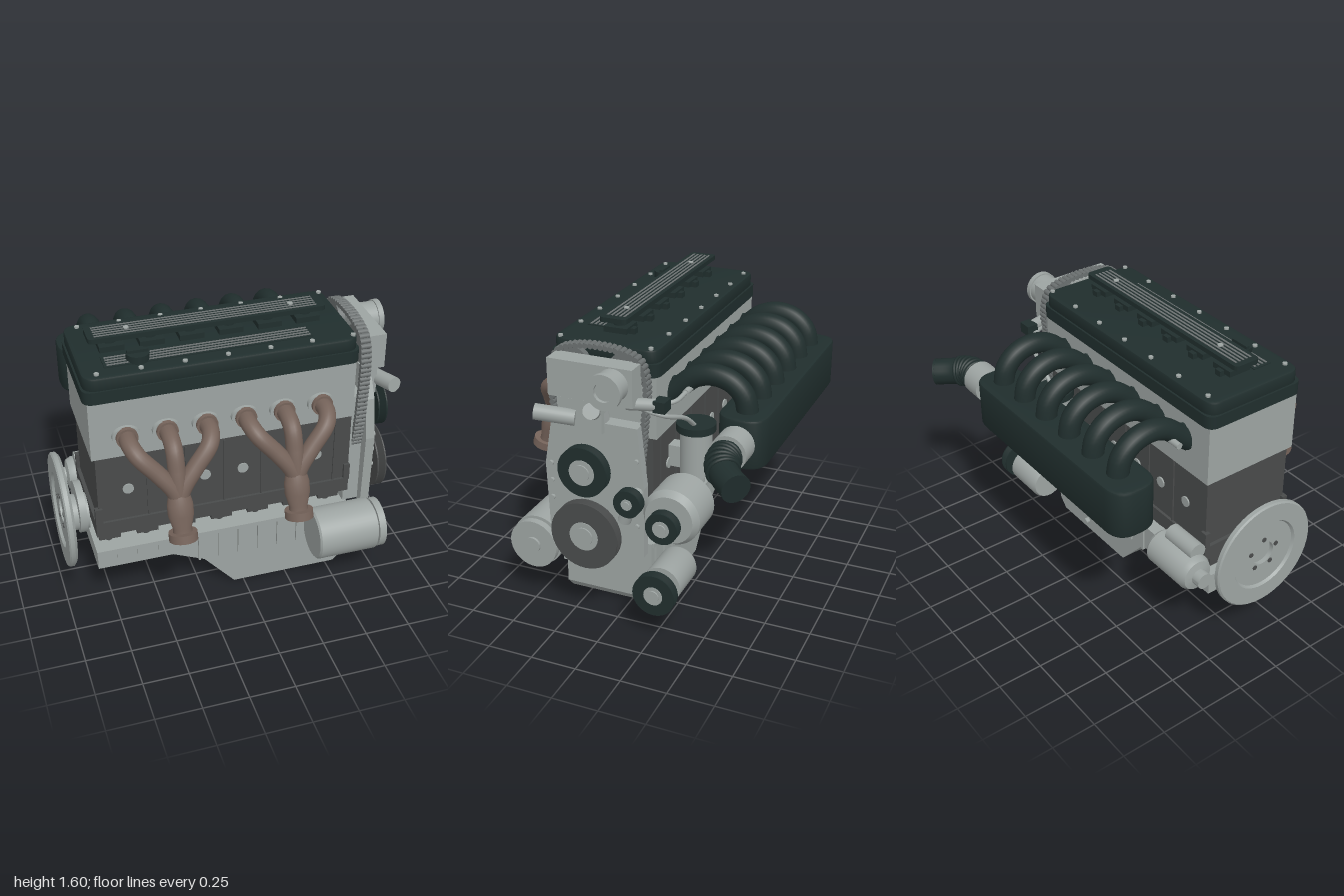
import * as THREE from 'three';
import { toCreasedNormals } from 'three/addons/utils/BufferGeometryUtils.js';

const material = (name, color) => Object.assign(new THREE.MeshStandardMaterial({ color }), { name });
const alloy = material('light alloy', 0x9da4a2);
const iron = material('dark iron', 0x494b4b);
const black = material('green black', 0x202e2d);
const brown = material('exhaust brown', 0x75635a);
const steel = material('steel grey', 0x6b7070);

const V = (x, y, z) => new THREE.Vector3(x, y, z);
const UP = V(0, 1, 0);
const PORTS = [0, 1, 2, 3, 4, 5].map(i => -0.645 + i * 0.21);

export function createModel() {
  const root = new THREE.Group();
  root.name = 'engine';

  const add = (name, geometry, mat) => {
    const mesh = new THREE.Mesh(geometry, mat);
    mesh.name = name;
    root.add(mesh);
    return mesh;
  };
  const box = (name, mat, x0, x1, y0, y1, z0, z1) => {
    const mesh = add(name, new THREE.BoxGeometry(x1 - x0, y1 - y0, z1 - z0), mat);
    mesh.position.set((x0 + x1) / 2, (y0 + y1) / 2, (z0 + z1) / 2);
    return mesh;
  };
  // Cylinder between two points
  const rod = (name, mat, a, b, r, sides = 28, r2 = r) => {
    const mesh = add(name, new THREE.CylinderGeometry(r2, r, a.distanceTo(b), sides), mat);
    mesh.position.copy(a).lerp(b, 0.5);
    mesh.quaternion.setFromUnitVectors(UP, b.clone().sub(a).normalize());
    return mesh;
  };
  const rodX = (name, mat, x0, x1, y, z, r, sides = 36) => rod(name, mat, V(x0, y, z), V(x1, y, z), r, sides);
  const tube = (name, mat, points, r, segments = 32) =>
    add(name, new THREE.TubeGeometry(new THREE.CatmullRomCurve3(points), segments, r, 16), mat);
  // Turned part along x: profile of [radius, offset]
  const turned = (name, mat, x, y, z, profile) => {
    const lathe = new THREE.LatheGeometry(profile.map(p => new THREE.Vector2(p[0], p[1])), 40);
    lathe.rotateZ(-Math.PI / 2);
    add(name, toCreasedNormals(lathe, 0.5), mat).position.set(x, y, z);
  };
  // Rounded rectangle in plan, raised along y
  const slab = (name, mat, x0, x1, y0, y1, z0, z1, r, bevel = 0) => {
    const s = new THREE.Shape();
    const [a, b, c, d] = [x0 + bevel, x1 - bevel, -z1 + bevel, -z0 - bevel];
    s.moveTo(a + r, c).lineTo(b - r, c).quadraticCurveTo(b, c, b, c + r);
    s.lineTo(b, d - r).quadraticCurveTo(b, d, b - r, d);
    s.lineTo(a + r, d).quadraticCurveTo(a, d, a, d - r);
    s.lineTo(a, c + r).quadraticCurveTo(a, c, a + r, c);
    const g = new THREE.ExtrudeGeometry(s, {
      depth: y1 - y0 - 2 * bevel, bevelEnabled: bevel > 0, bevelSize: bevel, bevelThickness: bevel, bevelSegments: 2, curveSegments: 8,
    });
    g.rotateX(-Math.PI / 2).translate(0, y0 + bevel, 0);
    return add(name, toCreasedNormals(g, 0.6), mat);
  };
  const poly = points => new THREE.Shape(points.map(p => new THREE.Vector2(p[0], p[1])));

  // Block with skirt, ribs and core plugs
  box('block', iron, -0.81, 0.6, 0.6, 1.02, -0.15, 0.385);
  box('blockSkirt', iron, -0.83, 0.6, 0.525, 0.61, -0.165, 0.4);
  for (const [face, out] of [[0.385, 1], [-0.15, -1]]) {
    PORTS.forEach(x => {
      rod('corePlug', alloy, V(x, 0.8, face), V(x, 0.8, face + out * 0.008), 0.03, 16);
      box('blockRib', iron, x + 0.1, x + 0.11, 0.61, 1.0, face - 0.008, face + 0.008);
    });
    box('blockCorner', iron, 0.57, 0.605, 0.6, 0.7, face - 0.015, face + 0.015);
    box('blockCorner', iron, -0.83, -0.79, 0.6, 0.7, face - 0.015, face + 0.015);
  }

  // Crankshaft, bearing caps and throws
  rodX('crankshaft', steel, -0.83, 0.82, 0.535, 0.115, 0.06);
  for (let i = 0; i < 7; i++) {
    const x = -0.75 + i * 0.21;
    box('bearingCap', iron, x - 0.035, x + 0.035, 0.44, 0.53, 0.0, 0.23);
    for (const z of [-0.06, 0.29]) {
      box('bearingFoot', iron, x - 0.06, x + 0.06, 0.45, 0.53, z - 0.05, z + 0.05);
      rod('capBolt', iron, V(x, 0.415, z), V(x, 0.46, z), 0.02, 8);
    }
  }
  PORTS.forEach((x, i) => rodX('crankThrow', alloy, x - 0.045, x + 0.045, 0.52 - (i % 2) * 0.03, 0.115, 0.1));

  // Oil pan
  const panShape = poly([[-0.83, 0.4], [-0.83, 0.28], [-0.41, 0.28], [-0.23, 0.2], [-0.055, 0], [0.55, 0], [0.605, 0.06], [0.605, 0.4]]);
  add('oilPan', new THREE.ExtrudeGeometry(panShape, { depth: 0.5, bevelEnabled: false }), alloy).position.z = -0.13;
  box('panRim', alloy, -0.835, 0.61, 0.385, 0.41, -0.155, 0.39);
  for (let i = 0; i < 12; i++) {
    const x = -0.72 + i * 0.115;
    for (const z of [0.37, -0.13]) box('panRib', alloy, x - 0.006, x + 0.006, x < -0.35 ? 0.34 : 0.21, 0.39, z - 0.012, z + 0.012);
  }
  rod('drainPlug', alloy, V(0.3, 0.06, -0.12), V(0.3, 0.06, -0.155), 0.02, 6);

  // Cylinder head and cover
  box('cylinderHead', alloy, -0.83, 0.6, 1.02, 1.37, -0.17, 0.4);
  slab('coverBase', black, -0.85, 0.62, 1.36, 1.43, -0.185, 0.415, 0.06);
  slab('coverTop', black, -0.84, 0.61, 1.42, 1.5, -0.175, 0.405, 0.06, 0.012);
  for (let i = 0; i < 7; i++) for (const z of [-0.135, 0.365])
    rod('coverBolt', alloy, V(-0.765 + i * 0.225, 1.49, z), V(-0.765 + i * 0.225, 1.51, z), 0.013, 10);

  // Coils, raised trim plate, ribbed panel and filler cap
  PORTS.forEach(x => {
    box('coil', black, x - 0.065, x + 0.065, 1.51, 1.54, 0.05, 0.18);
    rod('coilStem', black, V(x, 1.49, 0.115), V(x, 1.58, 0.115), 0.035, 16);
    box('coilPlug', black, x - 0.02, x + 0.02, 1.5, 1.53, 0.025, 0.06);
  });
  slab('trimPlate', black, -0.765, 0.5, 1.572, 1.598, 0.04, 0.19, 0.025);
  for (let i = 0; i < 5; i++) box('trimStripe', steel, -0.73, 0.455, 1.597, 1.6, 0.064 + i * 0.023, 0.075 + i * 0.023);
  for (const x of [-0.555, 0.325]) rod('trimScrew', alloy, V(x, 1.59, 0.115), V(x, 1.604, 0.115), 0.015, 12);
  box('ribbedPanel', black, -0.715, 0.385, 1.495, 1.505, 0.205, 0.315);
  for (let i = 0; i < 4; i++) box('panelStripe', steel, -0.7, 0.375, 1.503, 1.508, 0.22 + i * 0.024, 0.231 + i * 0.024);
  rod('fillerCap', black, V(-0.535, 1.49, 0.27), V(-0.535, 1.54, 0.27), 0.06);
  box('fillerGrip', black, -0.59, -0.48, 1.535, 1.555, 0.26, 0.28);

  // Exhaust manifolds: three pipes into each collector
  PORTS.forEach((x, i) => {
    const c = i < 3 ? PORTS[1] : PORTS[4], dx = x - c;
    const flange = rod('exhaustFlange', alloy, V(x, 1.15, 0.4), V(x, 1.15, 0.425), 0.055);
    flange.scale.x = 1.35;
    rod('exhaustCollar', brown, V(x, 1.15, 0.42), V(x, 1.15, 0.445), 0.057);
    tube('exhaustPipe', brown, [V(x, 1.15, 0.42), V(x, 1.145, 0.5), V(c + dx * 0.88, 1.11, 0.56),
      V(c + dx * 0.45, 1.01, 0.6), V(c + dx * 0.12, 0.92, 0.625), V(c, 0.86, 0.638)], 0.046);
  });
  for (const x of [PORTS[1], PORTS[4]]) {
    const g = new THREE.LatheGeometry([[0.04, 0], [0.054, 0.03], [0.068, 0.09], [0.068, 0.15], [0.05, 0.22], [0.052, 0.27]]
      .map(p => new THREE.Vector2(p[0], -p[1])).reverse(), 28);
    const collector = add('exhaustCollector', g.scale(1, 1, 0.8), brown);
    collector.position.set(x, 0.93, 0.62);
    const dir = V(0, -0.26, 0.08).normalize();
    collector.quaternion.setFromUnitVectors(UP, dir.clone().negate());
    const end = V(x, 0.675, 0.7);
    rod('exhaustOutlet', brown, end.clone().addScaledVector(dir, -0.025), end.clone().addScaledVector(dir, 0.02), 0.075);
    rod('outletBore', iron, end, end.clone().addScaledVector(dir, 0.023), 0.05);
  }

  // Intake plenum, runners, fuel rail
  slab('intakePlenum', black, -0.82, 0.535, 0.905, 1.175, -0.71, -0.45, 0.1, 0.015);
  PORTS.forEach(x => {
    tube('intakeRunner', black, [V(x, 1.19, -0.15), V(x, 1.25, -0.22), V(x, 1.315, -0.3), V(x, 1.34, -0.4),
      V(x, 1.315, -0.5), V(x, 1.25, -0.565), V(x, 1.14, -0.59)], 0.057);
    rod('injector', black, V(x, 1.2, -0.16), V(x, 1.29, -0.2), 0.025, 12);
  });
  rodX('fuelRail', alloy, -0.745, 0.5, 1.26, -0.285, 0.017, 14);
  tube('fuelPipe', alloy, [V(0.5, 1.26, -0.285), V(0.6, 1.25, -0.27), V(0.7, 1.23, -0.15), V(0.68, 1.2, -0.24), V(0.5, 1.12, -0.285), V(0.38, 1.03, -0.29)], 0.012);
  rodX('plenumPipe', alloy, 0.05, 0.38, 0.88, -0.44, 0.03, 18);
  rodX('plenumPipeCap', black, 0.36, 0.43, 0.875, -0.45, 0.036, 18);

  // Throttle and corrugated air hose
  rodX('throttleNeck', black, 0.5, 0.57, 1.06, -0.585, 0.07);
  rodX('throttleBody', alloy, 0.56, 0.69, 1.06, -0.585, 0.095);
  const hosePath = [V(0.68, 1.06, -0.585), V(0.78, 1.055, -0.59), V(0.86, 1.035, -0.635), V(0.945, 1.02, -0.722)];
  tube('airHose', black, hosePath, 0.075);
  const hoseCurve = new THREE.CatmullRomCurve3(hosePath);
  rod('hoseEnd', black, hoseCurve.getPoint(0.97), hosePath[3], 0.076);
  for (let i = 0; i < 6; i++) {
    const t = 0.12 + i * 0.09;
    const ring = add('hoseRing', new THREE.TorusGeometry(0.078, 0.01, 8, 28), black);
    ring.position.copy(hoseCurve.getPoint(t));
    ring.quaternion.setFromUnitVectors(V(0, 0, 1), hoseCurve.getTangent(t));
  }

  // Flywheel and hub
  turned('flywheel', alloy, -0.985, 0.535, 0.115, [[0.07, 0.03], [0.07, 0.015], [0.2, 0.015], [0.21, 0], [0.31, 0], [0.318, 0.008], [0.318, 0.03], [0.3, 0.045], [0.07, 0.045], [0.07, 0.03]]);
  rodX('flywheelHub', alloy, -0.945, -0.83, 0.5, 0.115, 0.1);
  rodX('hubFlange', alloy, -0.89, -0.85, 0.535, 0.115, 0.145);
  for (let i = 0; i < 5; i++) {
    const a = i * Math.PI * 0.4;
    rodX('flywheelBolt', iron, -0.975, -0.94, 0.535 + 0.09 * Math.cos(a), 0.115 + 0.09 * Math.sin(a), 0.014, 8);
  }

  // Front cover and its bolts
  const coverShape = poly([[-0.385, 0.4], [-0.4, 0.85], [-0.36, 1.08], [-0.27, 1.24], [-0.06, 1.24], [-0.05, 1.13], [0.125, 1.13], [0.16, 0.8], [0.155, 0.4]]);
  const frontCover = new THREE.ExtrudeGeometry(coverShape, { depth: 0.05, bevelEnabled: false }).rotateY(Math.PI / 2);
  add('frontCover', frontCover, alloy).position.x = 0.69;
  box('coverSpacer', alloy, 0.6, 0.7, 0.41, 1.1, -0.11, 0.34);
  box('panFlange', alloy, 0.6, 0.62, 0.2, 0.41, -0.145, 0.385);
  for (const [y, z] of [[0.655, 0.365], [0.755, 0.365], [0.855, 0.365], [0.58, -0.12], [0.765, -0.13], [0.95, -0.12]])
    rodX('frontCoverBolt', alloy, 0.73, 0.755, y, z, 0.014, 10);

  // Timing chain on cam sprockets
  const cams = [[1.39, 0.265], [1.39, -0.03]];
  cams.forEach(([y, z]) => rodX('camSprocket', steel, 0.635, 0.67, y, z, 0.1));
  const loop = new THREE.CatmullRomCurve3([[0.5, 0.19], [0.8, 0.33], [1.1, 0.37], [1.36, 0.375], [1.46, 0.34], [1.495, 0.26], [1.51, 0.12],
    [1.495, -0.03], [1.46, -0.11], [1.36, -0.145], [1.1, -0.13], [0.8, -0.09], [0.5, 0.04]].map(p => V(0.655, p[0], p[1])), true);
  for (let i = 0; i < 96; i++) {
    const p = loop.getPointAt(i / 96), q = loop.getPointAt((i + 1) / 96);
    rodX('chainRoller', steel, 0.632, 0.69, p.y, p.z, 0.015, 10);
    rod('chainLink', iron, p.clone().setX(i % 2 ? 0.645 : 0.675), q.clone().setX(i % 2 ? 0.645 : 0.675), 0.01, 6);
  }

  // Upper housing, thermostat and sensors
  box('upperHousing', alloy, 0.68, 0.79, 1.26, 1.46, -0.125, 0.34);
  rodX('housingBoss', alloy, 0.78, 0.88, 1.37, -0.02, 0.085);
  turned('housingCap', alloy, 0.87, 1.37, -0.02, [[0, 0], [0.093, 0], [0.093, 0.03], [0.05, 0.03], [0.05, 0.01], [0, 0.01]]);
  box('thermostatHousing', alloy, 0.68, 0.77, 1.08, 1.25, 0.055, 0.3);
  rod('waterOutlet', alloy, V(0.77, 1.15, 0.2), V(0.83, 1.175, 0.4), 0.042);
  rod('waterStub', alloy, V(0.75, 1.19, 0.11), V(0.85, 1.24, 0.07), 0.042);
  rod('sensorPipe', alloy, V(0.74, 1.26, -0.07), V(0.7, 1.26, -0.21), 0.032, 20);
  box('sensorPlug', black, 0.65, 0.73, 1.23, 1.29, -0.27, -0.205);

  // Grooved pulleys with hubs and axles: y, z, radius, hub radius, colour
  for (const [y, z, r, h, mat] of [[0.54, 0.12, 0.188, 0.08, iron], [0.905, 0.12, 0.136, 0.07, black], [0.775, -0.125, 0.074, 0.03, black],
    [0.675, -0.31, 0.086, 0.045, black], [0.275, -0.265, 0.116, 0.052, black]]) {
    const profile = [[0, 0], [r, 0], [r, 0.008]];
    for (let i = 0; i < 4; i++) profile.push([r - 0.012, 0.013 + i * 0.01], [r, 0.018 + i * 0.01]);
    profile.push([r, 0.055], [h, 0.055], [0, 0.055]);
    turned('pulley', mat, 0.823, y, z, profile);
    rodX('pulleyAxle', alloy, 0.7, 0.83, y, z, h);
    turned('pulleyHub', alloy, 0.87, y, z, [[0, 0], [h, 0], [h, 0.012], [h * 0.65, 0.012], [h * 0.65, 0.02], [0, 0.02]]);
  }
  rod('tensionerArm', alloy, V(0.79, 0.63, -0.07), V(0.8, 0.76, -0.12), 0.035);

  // Alternator, pump, compressor, starter and oil filter
  turned('alternator', alloy, 0.51, 0.675, -0.31, [[0, 0], [0.13, 0], [0.155, 0.03], [0.155, 0.23], [0.13, 0.27], [0, 0.27]]);
  turned('steeringPump', alloy, 0.52, 0.275, -0.265, [[0, 0], [0.095, 0], [0.105, 0.02], [0.105, 0.25], [0, 0.25]]);
  turned('compressor', alloy, 0.36, 0.34, 0.495, [[0, 0], [0.135, 0], [0.145, 0.01], [0.145, 0.34], [0.12, 0.34], [0.12, 0.355],
    [0.138, 0.355], [0.138, 0.395], [0.045, 0.395], [0.045, 0.41], [0, 0.41]]);
  turned('starter', alloy, -0.93, 0.5, -0.245, [[0, 0], [0.045, 0], [0.045, 0.05], [0.085, 0.06], [0.1, 0.09], [0.1, 0.36], [0.085, 0.38], [0, 0.38]]);
  rodX('starterSolenoid', alloy, -0.83, -0.62, 0.61, -0.215, 0.05);
  rod('oilFilter', alloy, V(0.36, 0.75, -0.29), V(0.36, 1.0, -0.29), 0.085);
  rod('oilFilterCap', black, V(0.36, 1.0, -0.29), V(0.36, 1.04, -0.29), 0.105);
  rod('oilFilterStem', alloy, V(0.36, 0.7, -0.29), V(0.36, 0.76, -0.29), 0.05);
  box('filterBracket', alloy, 0.32, 0.4, 0.78, 0.9, -0.24, -0.14);
  return root;
}
